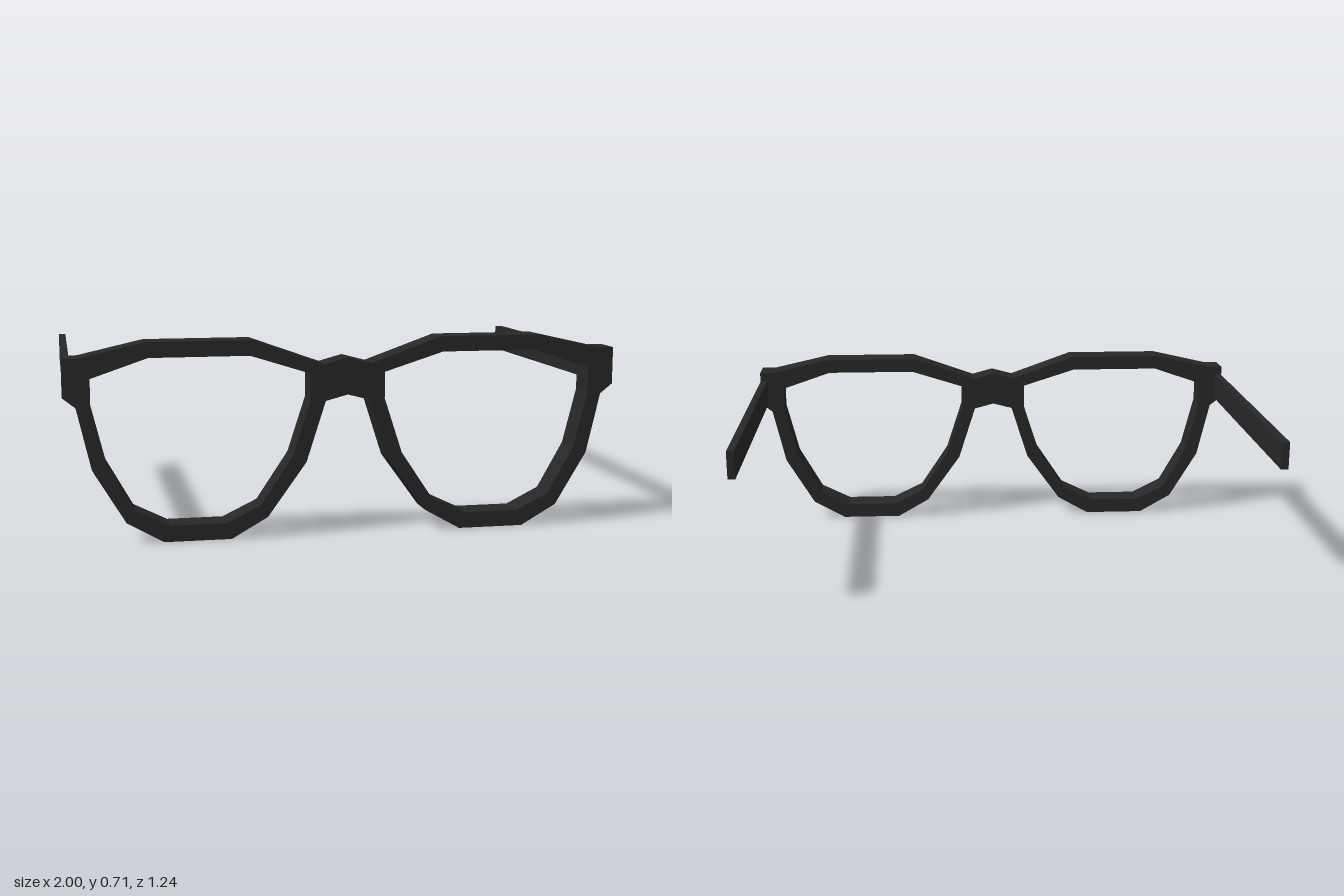
import * as THREE from 'three';

// Half outline (+x side): from the bridge top, over the brow and round the rim to the bridge underside
const OUTER = [[0, 0.64], [0.085, 0.617], [0.34, 0.708], [0.715, 0.708], [0.945, 0.656], [1, 0.656], [1, 0.521],
  [0.955, 0.485], [0.905, 0.266], [0.79, 0.074], [0.66, 0], [0.42, 0], [0.29, 0.074], [0.15, 0.268], [0.08, 0.486], [0, 0.507]];

// Lens opening on the +x side
const LENS = [[0.135, 0.585], [0.35, 0.653], [0.705, 0.653], [0.905, 0.585], [0.905, 0.49], [0.855, 0.287],
  [0.76, 0.118], [0.64, 0.058], [0.44, 0.058], [0.315, 0.118], [0.2, 0.29], [0.135, 0.49]];

const FRAME_BACK = 0.511, FRAME_FRONT = 0.62;
const toPoints = (list, side = 1) => list.map(([x, y]) => new THREE.Vector2(x * side, y));

export function createModel() {
  const model = new THREE.Group();
  model.name = 'eyeglasses';
  const material = new THREE.MeshStandardMaterial({ color: 0x272727 });

  // Front frame: mirrored outline, counter-clockwise, with two lens openings
  const mirrored = toPoints(OUTER.slice(1, -1), -1);
  const outline = new THREE.Shape([...mirrored, ...toPoints(OUTER).reverse()]);
  for (const side of [-1, 1]) outline.holes.push(new THREE.Path(toPoints(LENS, side)));
  const frame = new THREE.Mesh(
    new THREE.ExtrudeGeometry(outline, { depth: FRAME_FRONT - FRAME_BACK, bevelEnabled: false }), material);
  frame.name = 'frontFrame';
  frame.position.z = FRAME_BACK;
  model.add(frame);

  // Straight temple arms behind the hinge corners
  const length = FRAME_BACK + 0.62;
  for (const side of [-1, 1]) {
    const arm = new THREE.Mesh(new THREE.BoxGeometry(0.027, 0.102, length), material);
    arm.name = side > 0 ? 'leftTemple' : 'rightTemple';
    arm.position.set(side * 0.983, 0.573, FRAME_BACK - length / 2);
    model.add(arm);
  }
  return model;
}
